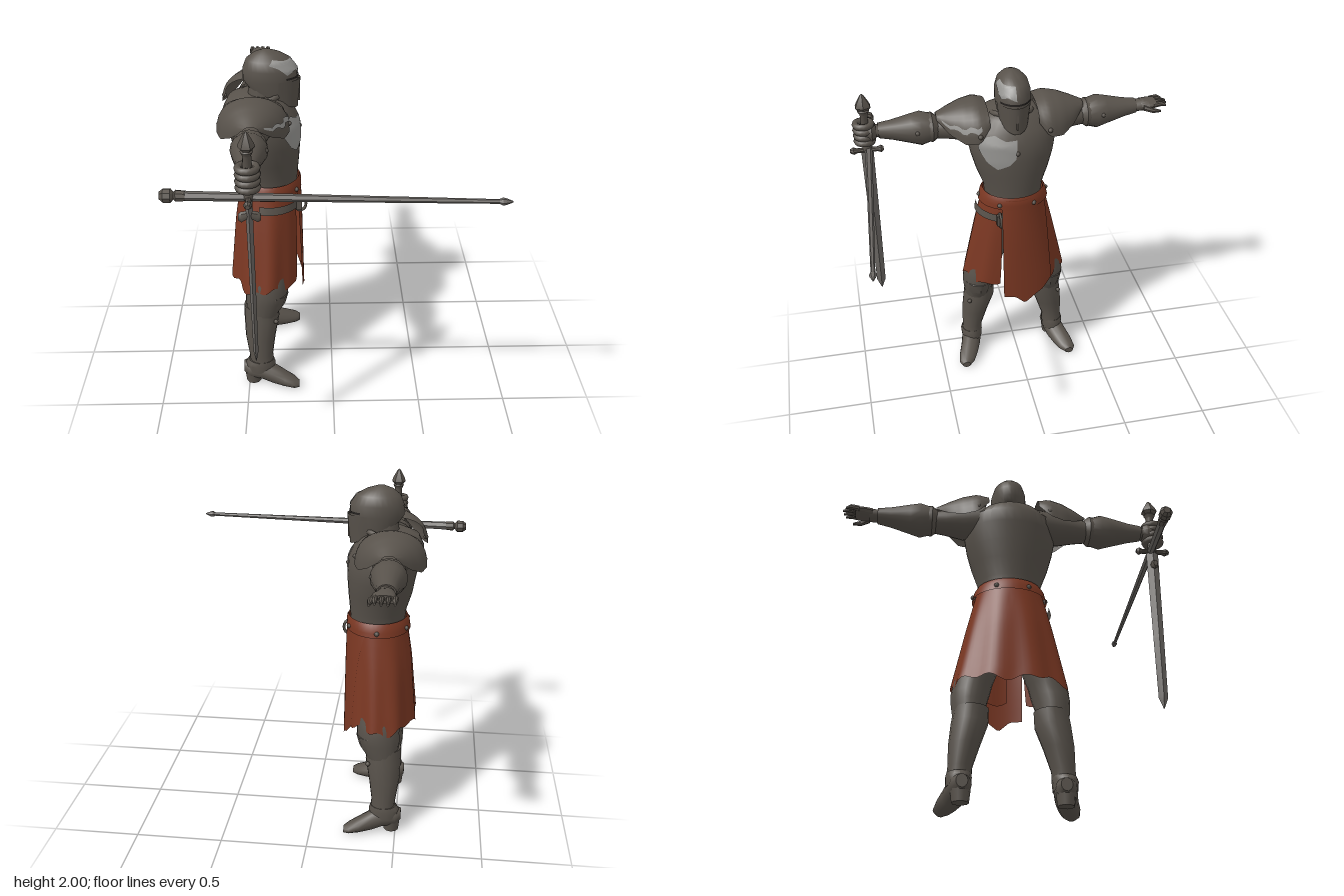
import * as THREE from 'three';
import { toCreasedNormals } from 'three/addons/utils/BufferGeometryUtils.js';

const MID = 0.017; // z of the body's mirror plane

function material(name, color, side = THREE.FrontSide) {
  const m = new THREE.MeshStandardMaterial({ color, side });
  m.name = name;
  return m;
}

// Surface from f(u, v), u and v in 0..1
function grid(nu, nv, f, flip = false, crease = 0.7) {
  const pos = [], idx = [];
  for (let i = 0; i <= nu; i++) for (let j = 0; j <= nv; j++) pos.push(...f(i / nu, j / nv));
  for (let i = 0; i < nu; i++) for (let j = 0; j < nv; j++) {
    const a = i * (nv + 1) + j, b = a + 1, c = b + nv + 1, d = a + nv + 1;
    if (flip) idx.push(a, c, b, a, d, c);
    else idx.push(a, b, c, a, c, d);
  }
  const g = new THREE.BufferGeometry();
  g.setAttribute('position', new THREE.Float32BufferAttribute(pos, 3));
  g.setIndex(idx);
  return toCreasedNormals(g, crease);
}

// Closed loft of ellipses [t, centreA, centreB, radiusA, radiusB] along an axis
const place = {
  x: (t, a, b) => [t, b, a],
  y: (t, a, b) => [a, t, b],
  z: (t, a, b) => [a, b, t],
};
function loft(axis, sections, n = 20, warp = p => p, crease = 0.7) {
  const first = sections[0], last = sections[sections.length - 1];
  const rows = [[...first.slice(0, 3), 0, 0], ...sections, [...last.slice(0, 3), 0, 0]];
  const nu = rows.length - 1;
  const flip = (axis === 'z') !== (last[0] > first[0]);
  return grid(nu, n, (u, v) => {
    const [t, a, b, ra, rb] = rows[Math.round(u * nu)];
    const th = (Math.round(v * n) % n) / n * Math.PI * 2;
    return warp(place[axis](t, a + ra * Math.cos(th), b + rb * Math.sin(th)));
  }, flip, crease);
}

// Linear interpolation in a table sorted by its first column
function lookup(rows, t) {
  let i = 0;
  while (i < rows.length - 2 && t > rows[i + 1][0]) i++;
  const k = THREE.MathUtils.clamp((t - rows[i][0]) / (rows[i + 1][0] - rows[i][0]), 0, 1);
  return rows[i].map((v, c) => v + (rows[i + 1][c] - v) * k);
}
function onLoft(sections, th, y, off) {
  const [, cx, cz, rx, rz] = lookup(sections, y);
  return [cx + (rx + off) * Math.cos(th), y, cz + (rz + off) * Math.sin(th)];
}
// Thin patch on a loft, outline given as [angle, height]
function patch(sections, outline, off) {
  const n = outline.length;
  const mid = [0, 1].map(c => outline.reduce((s, p) => s + p[c], 0) / n);
  return grid(6, n * 3, (u, v) => {
    const f = v * n, i = Math.floor(f + 1e-6), k = f - i;
    const p = outline[i % n], q = outline[(i + 1) % n];
    const at = c => mid[c] + (p[c] + (q[c] - p[c]) * k - mid[c]) * u;
    return onLoft(sections, at(0), at(1), off);
  });
}

const torso = [
  [1.24, -.35, MID, .155, .17], [1.3, -.35, MID, .16, .177], [1.4, -.36, MID, .18, .215],
  [1.5, -.365, MID, .192, .243], [1.6, -.38, MID, .203, .262], [1.67, -.4, MID, .193, .25],
  [1.73, -.405, MID, .16, .175], [1.76, -.39, MID, .11, .11],
];
const helm = [
  [1.75, -.33, MID, .13, .085], [1.84, -.33, MID, .148, .1], [1.9, -.33, MID, .147, .1],
  [1.95, -.337, MID, .12, .085], [1.98, -.345, MID, .075, .055], [2, -.35, MID, .02, .015],
];
const skirt = [[.64, -.388, MID, .203, .318], [1, -.37, MID, .185, .24], [1.26, -.35, MID, .162, .178]];
const shoulder = [
  [.14, .165, 1.785, 1.7], [.2, .197, 1.812, 1.62], [.28, .17, 1.8, 1.61],
  [.36, .11, 1.77, 1.65], [.427, .04, 1.74, 1.715],
];
// Lower edge of the helmet drops toward the front
const dropChin = ([x, y, z]) => [x, y - (x + .33) * .48 * THREE.MathUtils.clamp((1.84 - y) / .09, 0, 1), z];

export function createModel() {
  const group = new THREE.Group();
  const armour = material('armour', 0x58524b);
  const plate = material('thinPlate', 0x58524b, THREE.DoubleSide);
  const cloth = material('cloth', 0x7a3722, THREE.DoubleSide);
  const worn = material('wornMetal', 0x969592, THREE.DoubleSide);
  const steel = material('steel', 0x6b6763);
  const dark = material('darkSlit', 0x24211f, THREE.DoubleSide);
  const add = (name, geo, mat, x = 0, y = 0, z = 0) => {
    const m = new THREE.Mesh(geo, mat);
    m.name = name;
    m.position.set(x, y, z);
    group.add(m);
    return m;
  };
  const rivet = (x, y, z) => add('rivet', new THREE.SphereGeometry(.014, 8, 6), armour, x, y, z);

  // Torso, collar and head
  add('cuirass', loft('y', torso, 36), armour);
  add('chestWear', patch(torso, [[0, 1.64], [.04, 1.53], [.2, 1.49], [.5, 1.46], [.75, 1.5], [.95, 1.58],
    [.8, 1.645], [.5, 1.665], [.25, 1.635]], .005), worn);
  const collar = add('collar', new THREE.TorusGeometry(.115, .016, 8, 24), armour, -.375, 1.74, MID);
  collar.rotation.set(Math.PI / 2, .25, 0);
  add('neck', new THREE.CylinderGeometry(.075, .09, .14, 16), armour, -.37, 1.77, MID);
  add('helmet', loft('y', helm, 28, dropChin), armour);
  add('visor', grid(5, 16, (u, v) => {
    const th = (v - .5) * 2.5;
    return dropChin(onLoft(helm, th, 1.745 + u * .1, .003 + .012 * Math.max(0, 1 - Math.abs(th))));
  }), plate);
  add('eyeSlit', grid(1, 14, (u, v) => onLoft(helm, (v - .5) * 1.9, 1.852 + u * .012, .004)), dark);
  add('helmetWear', patch(helm, [[.02, 1.88], [.5, 1.9], [.9, 1.88], [1.2, 1.92], [1.55, 1.94], [1.3, 1.965],
    [.8, 1.955], [.02, 1.955]], .004), worn);
  add('visorRidge', new THREE.BoxGeometry(.012, .13, .012), armour, -.178, 1.775, MID);
  rivet(-.178, 1.56, MID);

  // Shoulders, arms and legs, mirrored in pairs
  const shell = (s, d, a, off) => {
    const [, rx, top, low] = lookup(shoulder, d);
    return [-.42 - (rx + off) * Math.cos(a), low + (top + off - low) * Math.sin(a) ** .85, MID + s * d];
  };
  for (const s of [1, -1]) {
    const alongZ = rows => rows.map(r => [MID + s * r[0], ...r.slice(1)]);
    const alongY = rows => rows.map(([y, x, d, rx, rz]) => [y, x, MID + s * d, rx, rz]);
    const alongX = rows => rows.map(([x, d, ...r]) => [x, MID + s * d, ...r]);
    add('pauldron', grid(12, 18, (u, v) => shell(s, .14 + u * .287, Math.max(1e-6, v * Math.PI - 1e-6), 0)), plate);
    for (const x of [-.6, -.23]) rivet(x, 1.66, MID + s * .2);
    rivet(-.25, 1.66, MID + s * .21);
    add('upperArm', loft('z', alongZ([[.15, -.42, 1.66, .11, .1], [.27, -.42, 1.655, .1, .09],
      [.37, -.425, 1.65, .078, .07], [.45, -.425, 1.65, .065, .06]])), armour);
    add('elbowGuard', loft('z', alongZ([[.41, -.425, 1.655, .06, .055], [.45, -.425, 1.655, .09, .085],
      [.49, -.425, 1.655, .082, .08]]), 12), armour);
    add('bracer', loft('z', alongZ([[.44, -.425, 1.655, .078, .075], [.515, -.425, 1.655, .097, .098],
      [.57, -.425, 1.658, .086, .084], [.68, -.425, 1.662, .06, .056], [.755, -.425, 1.665, .05, .042]]), 16), armour);
    rivet(-.34, 1.665, MID + s * .54);
    add('wrist', loft('z', alongZ([[.74, -.425, 1.665, .04, .034], [.8, -.42, 1.67, .045, .035]]), 12), armour);

    add('thigh', loft('y', alongY([[.45, -.41, .225, .085, .08], [.56, -.39, .222, .115, .095],
      [.61, -.38, .215, .122, .102], [.68, -.38, .2, .12, .105], [.85, -.38, .14, .125, .11], [1.1, -.36, .09, .1, .08]])), armour);
    add('kneeGuard', loft('y', alongY([[.46, -.4, .225, .08, .06], [.53, -.375, .225, .1, .08],
      [.6, -.355, .22, .1, .09], [.64, -.37, .215, .08, .07]]), 10), armour);
    add('greave', loft('y', alongY([[.13, -.42, .27, .07, .064], [.2, -.425, .265, .07, .063],
      [.32, -.425, .245, .088, .082], [.44, -.415, .218, .102, .097], [.52, -.415, .21, .1, .092]]), 16), armour);
    rivet(-.33, .44, MID + s * .29);
    add('ankleCuff', loft('y', alongY([[.09, -.43, .272, .085, .064], [.14, -.43, .272, .088, .068],
      [.165, -.425, .27, .075, .064]]), 14), armour);
    add('boot', loft('x', alongX([[-.53, .262, .1, .03, .035], [-.5, .265, .09, .055, .055], [-.42, .275, .085, .062, .062],
      [-.36, .29, .066, .062, .062], [-.29, .315, .045, .06, .045], [-.23, .335, .03, .05, .03], [-.2, .343, .022, .025, .02]]), 14), armour);
    add('heel', new THREE.CylinderGeometry(.052, .044, .07, 10), armour, -.475, .035, MID + s * .265);
  }
  // Worn strip on the front of one pauldron
  add('pauldronWear', grid(10, 2, (u, v) => shell(1, .19 + u * .21,
    Math.PI * (.86 + .05 * v + .015 * Math.sin(u * 17)), .005)), worn);

  // Skirt with folds and a ragged hem, open at the slit
  const angle = (z, rz) => Math.asin(THREE.MathUtils.clamp((z - MID) / rz, -1, 1));
  const fold = (th, v) => .008 * v * Math.cos(th * 9);
  add('skirt', grid(10, 72, (u, v) => {
    const rz = lookup(skirt, 1.26 - u * .62)[4];
    const th = angle(.11, rz) + .07 * u * u + v * (Math.PI * 2 - .35);
    const hem = .65 + .014 * Math.sin(th * 11) + .014 * Math.sin(th * 5 + 1);
    const p = onLoft(skirt, th, 1.26 - u * (1.26 - hem), fold(th, u));
    return p;
  }), cloth);
  const tip = [[-.2, .64], [-.14, .575], [-.09, .55], [-.02, .5], [.04, .555], [.11, .56]];
  add('frontFlap', grid(10, 20, (u, v) => {
    const z = .11 - v * (.27 + .04 * u);
    const y = 1.25 - u * (1.25 - lookup(tip, z)[1]);
    const [, cx, , rx, rz] = lookup(skirt, y);
    const th = angle(z, rz);
    return [cx + (rx + .012 + .008 * u) * Math.cos(th), y, z];
  }), cloth);
  add('waistband', grid(3, 40, (u, v) => onLoft(skirt, v * Math.PI * 2, 1.265 - u * .075, u === 0 ? .004 : .014)), cloth);
  for (const th of [.55, -.5, 1.6, 2.7, 3.6, 4.7]) rivet(...onLoft(skirt, th, 1.215, .014));

  // Side strap with buckle ring
  add('strap', grid(2, 20, (u, v) => onLoft(skirt, .42 + v * 1.4, 1.152 - u * .045 + v * .01, .018)), plate);
  add('strapEnd', new THREE.BoxGeometry(.03, .065, .03), armour, -.185, 1.125, .13);
  const ring = add('beltRing', new THREE.TorusGeometry(.033, .008, 6, 16), armour, -.18, 1.125, .125);
  ring.scale.y = 1.25;

  // Open hand
  add('openPalm', loft('z', [[-.765, -.425, 1.672, .045, .032], [-.81, -.42, 1.675, .06, .03],
    [-.86, -.425, 1.675, .058, .022]], 12), armour);
  for (let i = 0; i < 4; i++) {
    const x = -.475 + i * .032, end = -.915 - [.0, .015, .012, 0][i];
    add('finger', loft('z', [[-.84, x, 1.675, .015, .016], [-.885, x, 1.682, .014, .015],
      [end, x, 1.672, .006, .007]], 8), armour);
  }
  add('thumb', loft('z', [[-.78, -.385, 1.665, .022, .02], [-.83, -.355, 1.655, .016, .016],
    [-.875, -.35, 1.65, .007, .007]], 8), armour);

  // Gripping hand
  const sx = -.415, sz = .843;
  add('fistPalm', loft('z', [[.785, -.42, 1.67, .045, .04], [.81, -.415, 1.67, .062, .062], [.85, -.415, 1.67, .055, .06]], 12), armour);
  for (let i = 0; i < 4; i++) {
    const f = add('grippingFinger', new THREE.TorusGeometry(.045, .019, 8, 16), armour, sx, 1.617 + i * .034, sz + .008);
    f.rotation.x = Math.PI / 2;
  }

  // Upright sword
  const up = rows => rows.map(([y, rx, rz]) => [y, sx, sz, rx, rz]);
  add('swordBlade', loft('y', up([[.58, .002, .003], [.64, .013, .026], [1, .015, .03], [1.55, .018, .035]]), 4, p => p, .3), steel);
  add('swordGrip', loft('y', up([[1.55, .024, .028], [1.6, .022, .022], [1.78, .022, .022], [1.8, .032, .034],
    [1.815, .022, .024]]), 10), armour);
  add('swordPommel', loft('y', up([[1.8, .022, .025], [1.825, .042, .048], [1.845, .036, .04], [1.89, .012, .013], [1.9, .004, .004]]), 6, p => p, .3), armour);
  add('swordGuard', loft('z', [[.75, sx, 1.555, .012, .012], [.765, sx, 1.555, .022, .022], [.785, sx, 1.555, .015, .014],
    [.9, sx, 1.555, .015, .014], [.92, sx, 1.555, .022, .022], [.94, sx, 1.555, .012, .012]], 8), armour);
  add('bladeLugs', loft('x', [[sx - .055, sz, 1.45, .012, .018], [sx - .04, sz, 1.45, .02, .03], [sx, sz, 1.465, .016, .02],
    [sx + .04, sz, 1.45, .02, .03], [sx + .055, sz, 1.45, .012, .018]], 8), armour);

  // Long tapering shaft lying across the guard
  const along = rows => rows.map(([x, r]) => [x, .86 + x * .06, 1.555, r, r]);
  add('shaftHead', loft('x', along([[-.845, .02], [-.825, .036], [-.79, .036], [-.775, .018], [-.765, .03], [-.72, .026]]), 8, p => p, .3), armour);
  add('shaft', loft('x', along([[-.74, .025], [-.4, .021], [.2, .016], [.8, .011]]), 6, p => p, .3), steel);
  add('shaftTip', loft('x', along([[.775, .012], [.79, .019], [.805, .017], [.84, .003]]), 6, p => p, .3), steel);
  return group;
}
